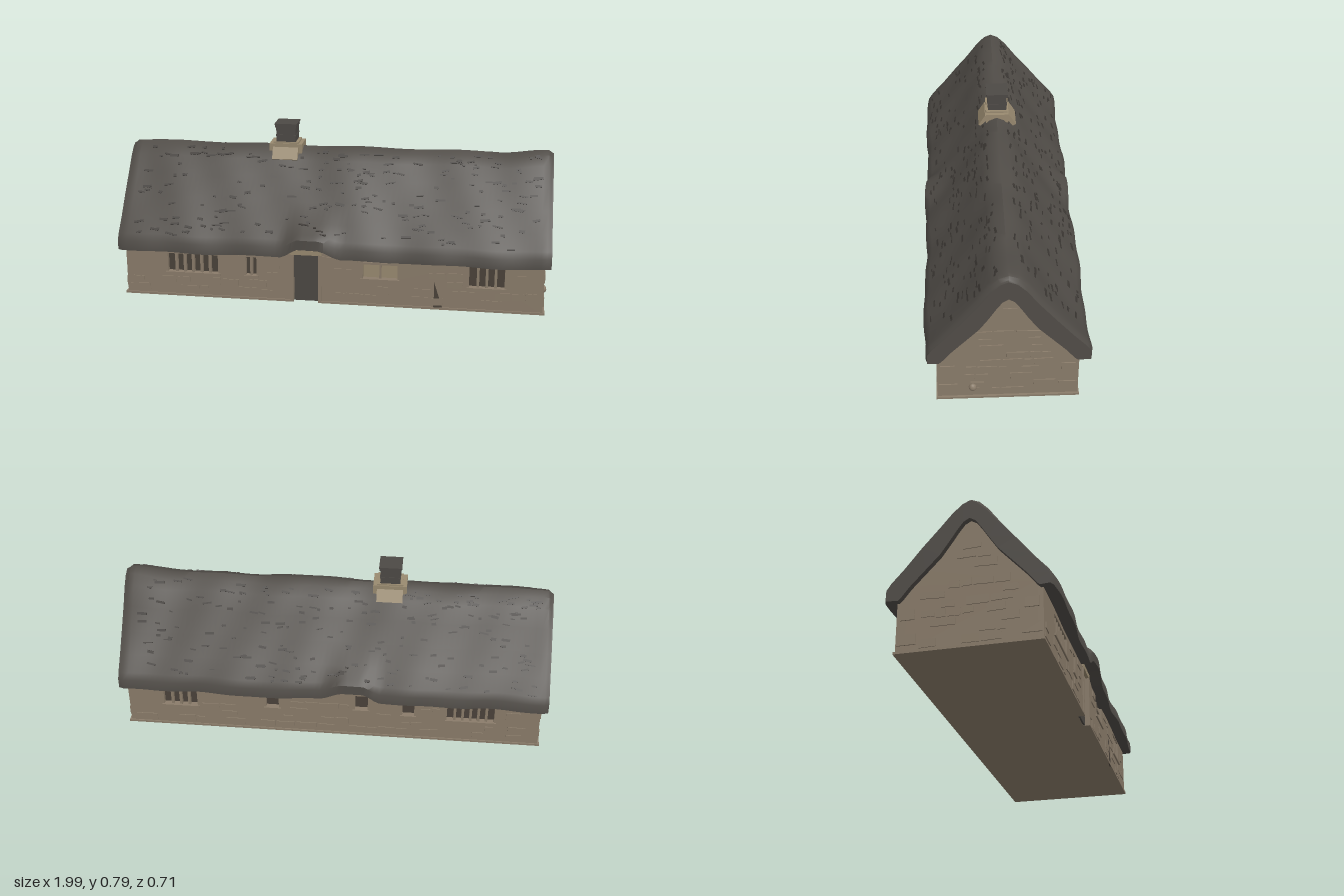
import * as THREE from 'three';
import { mergeGeometries, toCreasedNormals } from 'three/addons/utils/BufferGeometryUtils.js';

const mat = (name, color) => new THREE.MeshStandardMaterial({ name, color });

// Half section of the thatch as [z, y], eave to ridge: outside, then underside
const OUTER = [[0.348, 0.233], [0.346, 0.28], [0.326, 0.31], [0.27, 0.372], [0.2, 0.46],
  [0.13, 0.557], [0.08, 0.635], [0.042, 0.675], [0, 0.69]];
const INNER = [[0.29, 0.23], [0.275, 0.245], [0.24, 0.29], [0.18, 0.355], [0.12, 0.42],
  [0.08, 0.48], [0.05, 0.53], [0.025, 0.567], [0, 0.583]];
const mirrored = half => [...half, ...half.slice(0, -1).reverse().map(([z, y]) => [-z, y])];
const step = THREE.MathUtils.smoothstep;

// Thatch point: uneven eaves, sagging ridge and a raised brow over the doorway
function thatch([z, y], x, outside) {
  const brow = step(x, -0.23, -0.14) * (1 - step(x, -0.06, 0.06));
  const low = 1 - step(y, 0.27, 0.4), high = step(y, 0.45, 0.69);
  const wobble = 0.005 * Math.sin(x * 9 + z * 5) + 0.003 * Math.sin(x * 23 + y * 12);
  const end = outside * step(Math.abs(x), 0.97, 0.996);
  const dy = 0.045 * brow * low + high * (0.015 * step(x, 0.75, 0.95) - 0.014)
    + 0.003 * Math.sin(x * 14) - 0.016 * end * high;
  return new THREE.Vector3(x, y + dy, z + Math.sign(z) * (wobble * outside - 0.008 * end));
}

function roofGeometry() {
  const outer = mirrored(OUTER), inner = mirrored(INNER), n = outer.length;
  const xs = [-0.996, -0.988];
  for (let i = 0; i <= 78; i++) xs.push(-0.975 + 1.95 * i / 78);
  xs.push(0.988, 0.996);
  const pos = [], idx = [];
  for (const x of xs) {
    for (const p of outer) pos.push(...thatch(p, x, 1).toArray());
    for (const p of [...inner].reverse()) pos.push(...thatch(p, x, 0).toArray());
  }
  const m = 2 * n, last = (xs.length - 1) * m;
  for (let i = 0; i < xs.length - 1; i++) for (let j = 0; j < m; j++) {
    const a = i * m + j, b = i * m + (j + 1) % m;
    idx.push(a, a + m, b + m, a, b + m, b);
  }
  for (let j = 0; j < n - 1; j++) { // gable ends
    const o = j, p = j + 1, q = m - 1 - j, r = m - 2 - j;
    idx.push(last + o, last + q, last + r, last + o, last + r, last + p);
    idx.push(o, r, q, o, p, r);
  }
  const g = new THREE.BufferGeometry();
  g.setAttribute('position', new THREE.Float32BufferAttribute(pos, 3));
  g.setIndex(idx);
  return toCreasedNormals(g, 0.7);
}

export function createModel() {
  const house = new THREE.Group();
  house.name = 'thatchedCottage';
  const stone = mat('stone', 0x8a7c6a), straw = mat('thatch', 0x514d48), tuftMat = mat('darkThatch', 0x3d3935);
  const slate = mat('chimneySlate', 0x4d4945), dark = mat('windowDark', 0x4a423a);
  const doorMat = mat('doorPaint', 0x4c4843), pale = mat('paleStone', 0x998a70);
  let seed = 7;
  const rnd = () => (seed = (seed * 16807) % 2147483647) / 2147483647;
  const add = (parent, name, geo, material) => {
    const mesh = new THREE.Mesh(geo, material);
    mesh.name = name;
    parent.add(mesh);
    return mesh;
  };
  const boxAt = (w, h, d, x, y, z) => new THREE.BoxGeometry(w, h, d).translate(x, y, z);
  const box = (parent, name, material, ...dims) => add(parent, name, boxAt(...dims), material);

  // Gabled core, reaching slightly into the thatch
  const core = new THREE.Shape([[0.275, 0], [0.275, 0.26], [0.24, 0.3], [0.18, 0.365], [0.12, 0.43],
    [0.08, 0.49], [0.05, 0.54], [0.025, 0.577], [0, 0.593], [-0.025, 0.577], [-0.05, 0.54], [-0.08, 0.49],
    [-0.12, 0.43], [-0.18, 0.365], [-0.24, 0.3], [-0.275, 0.26], [-0.275, 0]]
    .map(([z, y]) => new THREE.Vector2(-z, y)));
  const coreGeo = new THREE.ExtrudeGeometry(core, { depth: 1.94, bevelEnabled: false });
  add(house, 'gabledCore', coreGeo.translate(0, 0, -0.97).rotateY(Math.PI / 2), stone);
  add(house, 'thatchedRoof', roofGeometry(), straw);

  // Raised stones in rough courses; keep(x, y, w) decides where they may lie
  function stones(width, top, keep) {
    const list = [];
    for (let y = 0.035; y < top; y += 0.042) {
      for (let x = -width + 0.02 * rnd(); x < width - 0.04;) {
        const w = 0.04 + 0.07 * rnd(), h = 0.026 + 0.012 * rnd();
        if (rnd() < 0.55 && x + w < width && keep(x + w / 2, y, w)) {
          list.push(boxAt(w - 0.008, h, 0.006, 0, 0, 0).rotateZ((rnd() - 0.5) * 0.1)
            .translate(x + w / 2, y + 0.006 * rnd(), 0.001));
        }
        x += w;
      }
    }
    return mergeGeometries(list);
  }

  // Long wall with true openings: [x, y, width, height, mullions]
  function longWall(name, openings, door) {
    const wall = new THREE.Group();
    wall.name = name;
    house.add(wall);
    const outline = [[-0.97, 0]];
    if (door) outline.push([-0.175, 0], [-0.175, 0.25], [-0.055, 0.25], [-0.055, 0]);
    outline.push([0.97, 0], [0.97, 0.29], [-0.97, 0.29]);
    const shape = new THREE.Shape(outline.map(p => new THREE.Vector2(...p)));
    for (const [x, y, w, h, bars] of openings) {
      const a = x - w / 2, b = x + w / 2, c = y - h / 2, d = y + h / 2;
      shape.holes.push(new THREE.Path([[a, c], [a, d], [b, d], [b, c]].map(p => new THREE.Vector2(...p))));
      box(wall, 'windowPane', bars < 0 ? pale : dark, w, h, 0.004, x, y, 0.276);
      for (let i = 1; i <= bars; i++) {
        box(wall, 'mullion', stone, 0.012, h, 0.02, a + w * i / (bars + 1), y, 0.286);
      }
      if (bars < 0) { // plain two-light sash
        box(wall, 'sashRail', stone, w, 0.01, 0.014, x, y + 0.02, 0.283);
        box(wall, 'sashStile', stone, 0.01, h, 0.012, x, y, 0.283);
      }
      box(wall, 'sill', stone, w + 0.02, 0.01, 0.014, x, c - 0.005, 0.3);
    }
    const geo = new THREE.ExtrudeGeometry(shape, { depth: 0.025, bevelEnabled: false });
    add(wall, 'wallFace', geo.translate(0, 0, 0.275), stone);
    const clear = (x, y, w) => openings.every(o => Math.abs(x - o[0]) > (w + o[2]) / 2 + 0.008
      || Math.abs(y - o[1]) > o[3] / 2 + 0.025) && !(door && Math.abs(x + 0.1) < w / 2 + 0.1);
    add(wall, 'wallStones', stones(0.96, 0.23, clear).translate(0, 0, 0.3), stone);
    for (const [a, b] of door ? [[-0.98, -0.175], [-0.055, 0.98]] : [[-0.98, 0.98]]) {
      box(wall, 'footing', stone, b - a, 0.01, 0.02, (a + b) / 2, 0.005, 0.296);
    }
    return wall;
  }

  const front = longWall('frontWall', [[-0.65, 0.165, 0.24, 0.09, 5], [-0.372, 0.165, 0.05, 0.09, 1],
    [0.23, 0.183, 0.16, 0.1, -1], [0.715, 0.168, 0.16, 0.105, 3]], true);
  // The rear wall is turned round, so its openings run the other way
  const back = longWall('rearWall', [[-0.72, 0.168, 0.16, 0.1, 3], [-0.28, 0.175, 0.06, 0.08, 0],
    [0.14, 0.19, 0.06, 0.08, 0], [0.36, 0.175, 0.055, 0.085, 0], [0.65, 0.165, 0.22, 0.09, 5]], false);
  back.rotation.y = Math.PI;

  // Doorway
  box(front, 'door', doorMat, 0.115, 0.235, 0.008, -0.115, 0.118, 0.279);
  box(front, 'doorLintel', pale, 0.15, 0.022, 0.016, -0.115, 0.245, 0.298);
  for (const x of [-0.18, -0.05]) box(front, 'doorJamb', stone, 0.014, 0.236, 0.016, x, 0.118, 0.298);
  box(front, 'doorSideStone', stone, 0.042, 0.18, 0.008, -0.018, 0.14, 0.301);
  // Narrow wedge-shaped gap at the foot of the wall
  const gap = new THREE.Shape([[0.475, 0], [0.52, 0], [0.478, 0.13]].map(p => new THREE.Vector2(...p)));
  add(front, 'wallGap', new THREE.ExtrudeGeometry(gap, { depth: 0.006, bevelEnabled: false })
    .translate(0, 0, 0.298), dark);

  // Gable stones, footings and corner quoins
  for (const side of [1, -1]) {
    const gable = new THREE.Group();
    gable.name = side > 0 ? 'leftGable' : 'rightGable';
    gable.rotation.y = side * Math.PI / 2;
    house.add(gable);
    const under = (x, y, w) => Math.abs(x) + w / 2 < (y < 0.21 ? 0.21 : 0.265 - (y - 0.21) * 0.74);
    add(gable, 'gableStones', stones(0.29, 0.53, under).translate(0, 0, 0.97), stone);
    box(gable, 'gableFooting', stone, 0.61, 0.01, 0.02, 0, 0.005, 0.97);
    for (const x of [-0.255, 0.255]) for (const [y, w] of [[0.06, 0.08], [0.17, 0.06]]) {
      box(gable, 'quoin', stone, w, 0.045, 0.008, x, y, 0.971);
    }
  }
  const boss = add(house, 'gableBoss', new THREE.IcosahedronGeometry(0.02, 1), stone);
  boss.position.set(0.975, 0.065, 0.15);
  boss.scale.set(0.8, 1, 0.9);

  // Tufts lying on the thatch
  const tufts = [];
  for (let i = 0; i < 420; i++) {
    const x = -0.93 + 1.86 * rnd(), k = 2 + Math.floor(rnd() * 5), t = rnd(), side = i % 2 ? 1 : -1;
    const [a, b] = [OUTER[k], OUTER[k + 1]].map(([z, y]) => thatch([z * side, y], x, 1));
    const p = a.clone().lerp(b, t), tilt = Math.atan2(Math.abs(b.z - a.z), b.y - a.y);
    tufts.push(boxAt(0.012 + 0.035 * rnd(), 0.005 + 0.008 * rnd(), 0.005, 0, 0, 0)
      .rotateZ((rnd() - 0.5) * 0.5).rotateX(-side * tilt).translate(p.x, p.y, p.z));
  }
  add(house, 'thatchTufts', mergeGeometries(tufts), tuftMat);

  // Chimney astride the ridge
  const chimney = new THREE.Group();
  chimney.name = 'chimney';
  chimney.position.set(-0.247, 0, -0.004);
  house.add(chimney);
  box(chimney, 'chimneyShaft', slate, 0.092, 0.14, 0.088, 0, 0.71, 0);
  box(chimney, 'chimneyBand', slate, 0.096, 0.007, 0.093, 0, 0.728, 0);
  box(chimney, 'chimneyCap', slate, 0.1, 0.012, 0.098, 0, 0.772, 0);
  box(chimney, 'chimneyCapTop', slate, 0.105, 0.007, 0.103, 0, 0.782, 0);
  box(chimney, 'chimneyCollar', pale, 0.155, 0.045, 0.108, 0, 0.668, 0);
  box(chimney, 'chimneyCollarTop', pale, 0.12, 0.016, 0.1, 0, 0.69, 0);
  for (const side of [1, -1]) {
    const apron = box(chimney, 'chimneyApron', pale, 0.12, 0.06, 0.02, 0, 0, 0);
    apron.position.set(0, 0.645, side * 0.066);
    apron.rotation.x = -side * 0.55;
  }
  return house;
}
